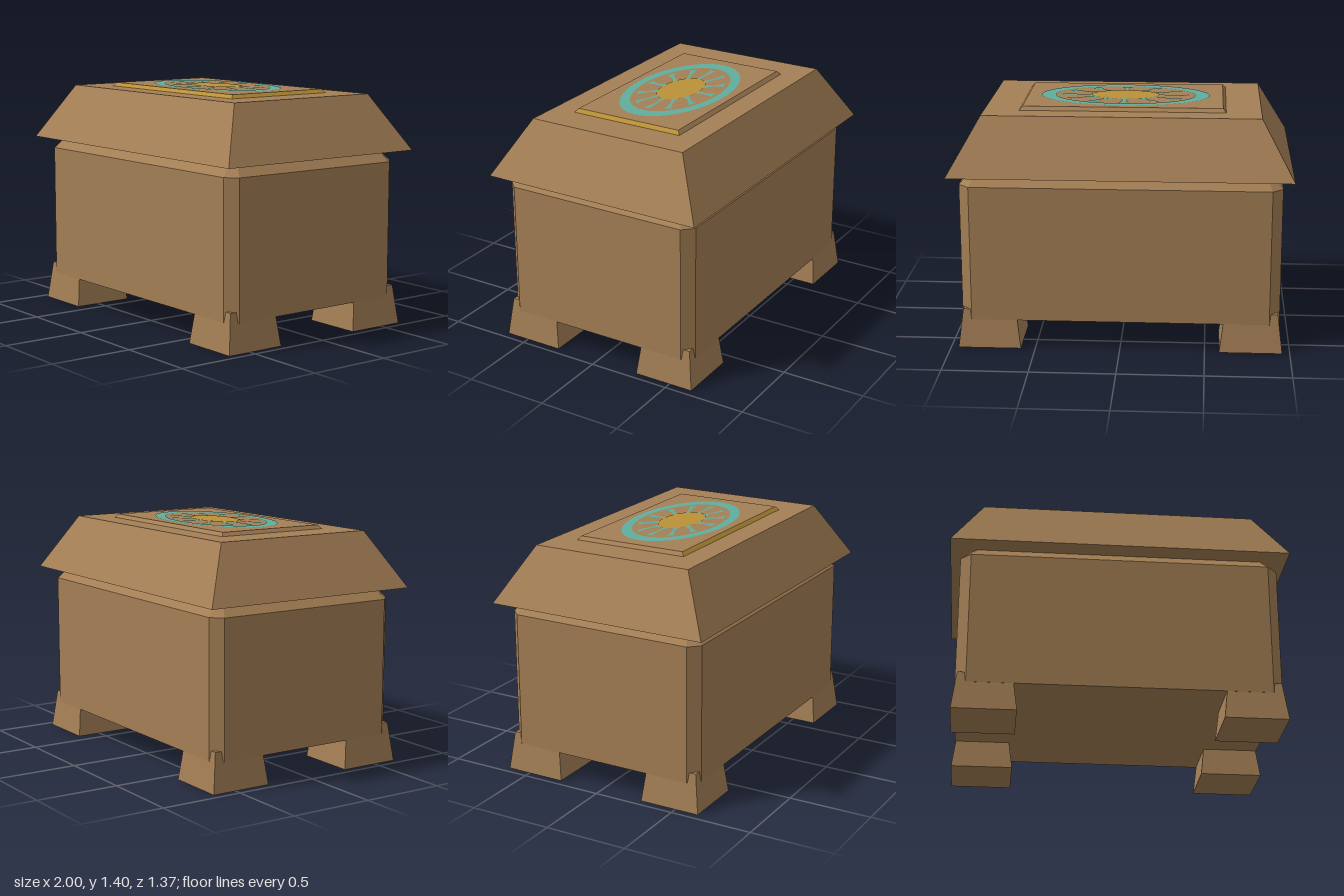
import * as THREE from 'three';

const wood = new THREE.MeshStandardMaterial({ color: 0xa47f55 });
const gold = new THREE.MeshStandardMaterial({ color: 0xba9137 });
const teal = new THREE.MeshStandardMaterial({ color: 0x60ad9d });
wood.name = 'wood';
gold.name = 'gold';
teal.name = 'teal';

// Horizontal outline with half sizes x and z, optionally with chamfered corners
function outline(y, x, z, c = 0) {
  const corners = c
    ? [[x, z - c], [x, c - z], [x - c, -z], [c - x, -z], [-x, c - z], [-x, z - c], [c - x, z], [x - c, z]]
    : [[x, z], [x, -z], [-x, -z], [-x, z]];
  return corners.map(([px, pz]) => new THREE.Vector3(px, y, pz));
}

// Flat-faced solid through stacked outlines, sides first, then the caps
function loft(rings) {
  const points = [];
  const n = rings[0].length;
  for (let k = 0; k < rings.length - 1; k++) {
    for (let i = 0; i < n; i++) {
      const j = (i + 1) % n;
      const [a, b, c, d] = [rings[k][i], rings[k][j], rings[k + 1][j], rings[k + 1][i]];
      points.push(a, b, c, a, c, d);
    }
  }
  const bottom = rings[0];
  const top = rings[rings.length - 1];
  for (let i = 1; i < n - 1; i++) {
    points.push(top[0], top[i], top[i + 1], bottom[0], bottom[i + 1], bottom[i]);
  }
  const geometry = new THREE.BufferGeometry().setFromPoints(points);
  geometry.computeVertexNormals();
  return geometry;
}

function addMesh(parent, name, geometry, material) {
  const mesh = new THREE.Mesh(geometry, material);
  mesh.name = name;
  parent.add(mesh);
  return mesh;
}

// Round pattern on the lid, squashed to an ellipse
function createMedallion() {
  const medallion = new THREE.Group();
  medallion.name = 'medallion';
  medallion.rotation.x = -Math.PI / 2;
  medallion.scale.y = 0.575;

  addMesh(medallion, 'medallionRing', new THREE.RingGeometry(0.42, 0.507, 64), teal);

  // Spokes flare at both ends
  const spoke = new THREE.Shape();
  spoke.moveTo(0.195, -0.03);
  spoke.quadraticCurveTo(0.24, -0.008, 0.29, -0.013);
  spoke.quadraticCurveTo(0.34, -0.016, 0.38, -0.034);
  spoke.lineTo(0.38, 0.034);
  spoke.quadraticCurveTo(0.34, 0.016, 0.29, 0.013);
  spoke.quadraticCurveTo(0.24, 0.008, 0.195, 0.03);
  const spokeGeometry = new THREE.ShapeGeometry(spoke, 6);
  for (let i = 0; i < 12; i++) {
    addMesh(medallion, 'medallionSpoke', spokeGeometry, teal).rotation.z = (i * Math.PI) / 6;
  }

  addMesh(medallion, 'medallionCentre', new THREE.CircleGeometry(0.205, 48), gold).position.z = 0.002;
  return medallion;
}

export function createModel() {
  const chest = new THREE.Group();
  chest.name = 'chest';

  // Box with chamfered corners and a bevel under the lid
  addMesh(chest, 'body', loft([
    outline(0.17, 0.938, 0.625, 0.062),
    outline(0.98, 0.938, 0.625, 0.062),
    outline(1.046, 0.873, 0.56, 0.03),
  ]), wood);

  // Overhanging sloped lid
  addMesh(chest, 'lid', loft([outline(1.046, 1, 0.687), outline(1.376, 0.811, 0.5)]), wood);

  // Raised panel, gilded on its front and left edges
  const panel = loft([outline(1.376, 0.605, 0.355), outline(1.398, 0.587, 0.337)]);
  panel.addGroup(0, 6, 1);
  panel.addGroup(6, 12, 0);
  panel.addGroup(18, 6, 1);
  panel.addGroup(24, 12, 0);
  addMesh(chest, 'lidPanel', panel, [wood, gold]);

  const medallion = createMedallion();
  medallion.position.y = 1.4;
  chest.add(medallion);

  // Tapered feet whose tips show past the chamfered corners
  const foot = loft([outline(0, 0.185, 0.185), outline(0.232, 0.156, 0.156)]);
  for (const x of [-0.77, 0.77]) {
    for (const z of [-0.46, 0.46]) {
      addMesh(chest, 'foot', foot, wood).position.set(x, 0, z);
    }
  }
  return chest;
}
